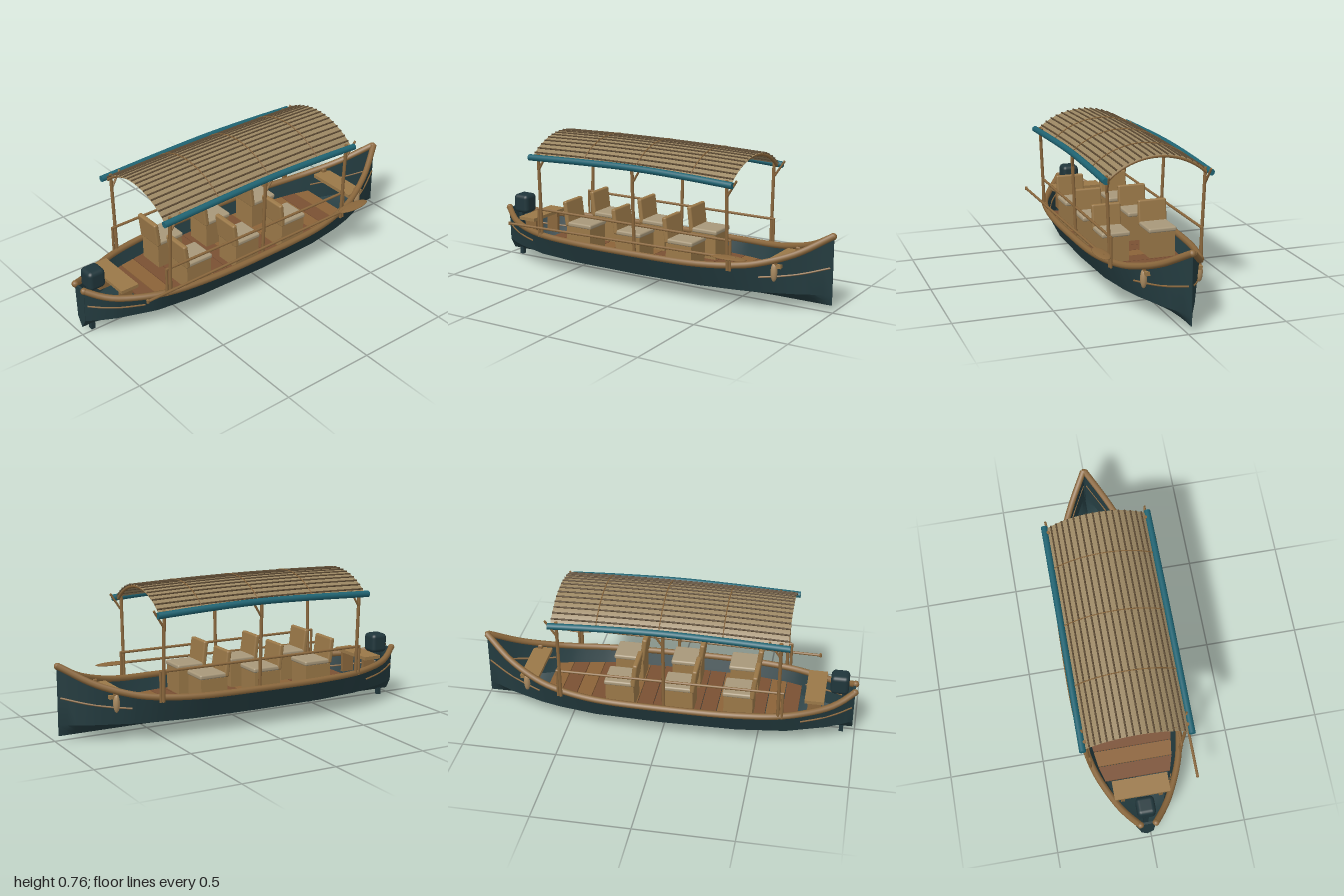
import * as THREE from 'three';
import { toCreasedNormals } from 'three/addons/utils/BufferGeometryUtils.js';
import { RoundedBoxGeometry } from 'three/addons/geometries/RoundedBoxGeometry.js';
import { ParametricGeometry } from 'three/addons/geometries/ParametricGeometry.js';

const mat = (color, side = THREE.FrontSide) => new THREE.MeshStandardMaterial({ color, side });
const M = {
  hull: mat(0x243c40, THREE.DoubleSide), wood: mat(0x8a673c), bench: mat(0x9a7848),
  floorA: mat(0x7a5033), floorB: mat(0x8b6238), pad: mat(0xa8987a), teal: mat(0x1f6473),
  thatch: mat(0x9a8662, THREE.DoubleSide), batten: mat(0x5c4a33), motor: mat(0x20363b), fender: mat(0xa98a60),
};
const V = (x, y, z) => new THREE.Vector3(x, y, z);

// Hull stations: x, half beam at the gunwale, sheer height
const STATIONS = [
  [-0.985, 0.04, 0.27], [-0.92, 0.09, 0.238], [-0.85, 0.135, 0.22], [-0.65, 0.222, 0.208], [-0.4, 0.262, 0.206],
  [0, 0.27, 0.207], [0.35, 0.255, 0.21], [0.55, 0.215, 0.222], [0.66, 0.18, 0.24], [0.83, 0.1, 0.295], [0.985, 0.003, 0.385],
];
function station(x) {
  let i = 0;
  while (i < STATIONS.length - 2 && x > STATIONS[i + 1][0]) i++;
  const a = STATIONS[i], b = STATIONS[i + 1], t = (x - a[0]) / (b[0] - a[0]);
  return { beam: a[1] + (b[1] - a[1]) * t, sheer: a[2] + (b[2] - a[2]) * t };
}
const CHINE = 0.085, KEEL = 0.03;
// Half width of the hull side at height y
function sideAt(x, y) {
  const { beam, sheer } = station(x);
  return beam * (0.81 + 0.19 * (y - CHINE) / (sheer - CHINE));
}

export function createModel() {
  const root = new THREE.Group();
  root.name = 'canopyBoat';
  const boat = new THREE.Group();
  boat.name = 'boat';
  boat.position.z = -0.02;
  root.add(boat);

  const add = (name, geo, material, x = 0, y = 0, z = 0, parent = boat) => {
    const m = new THREE.Mesh(geo, material);
    m.name = name;
    m.position.set(x, y, z);
    parent.add(m);
    return m;
  };
  const box = (name, w, h, d, material, x, y, z, parent) =>
    add(name, new THREE.BoxGeometry(w, h, d), material, x, y, z, parent);
  const rod = (name, a, b, r, material, sides = 8) => {
    const dir = b.clone().sub(a), mid = a.clone().add(b).multiplyScalar(0.5);
    const m = add(name, new THREE.CylinderGeometry(r, r, dir.length(), sides), material, mid.x, mid.y, mid.z);
    m.quaternion.setFromUnitVectors(V(0, 1, 0), dir.normalize());
    return m;
  };
  const tube = (name, pts, r, material, seg = 40, sides = 8) =>
    add(name, new THREE.TubeGeometry(new THREE.CatmullRomCurve3(pts), seg, r, sides), material);

  // Hull shell: hard chine, shallow V bottom
  const hullGeo = new ParametricGeometry((u, v, p) => {
    const f = u * (STATIONS.length - 1) / 1, i = Math.min(Math.floor(f), STATIONS.length - 2);
    const x = THREE.MathUtils.lerp(STATIONS[i][0], STATIONS[i + 1][0], f - i);
    const { sheer } = station(x), s = Math.abs(v * 2 - 1), side = v < 0.5 ? -1 : 1;
    if (s >= 0.5) {
      const y = CHINE + (sheer - CHINE) * (s - 0.5) * 2;
      p.set(x, y, side * sideAt(x, y));
    } else {
      p.set(x, KEEL + (CHINE - KEEL) * s * 2, side * sideAt(x, CHINE) * s * 2);
    }
  }, 40, 8);
  add('hull', toCreasedNormals(hullGeo, 0.45), M.hull);

  // Transom closing the stern
  const st = station(-0.985), cw = sideAt(-0.985, CHINE);
  const transom = new THREE.Shape([[-st.beam, st.sheer], [-cw, CHINE], [0, KEEL], [cw, CHINE], [st.beam, st.sheer]]
    .map(([a, b]) => new THREE.Vector2(a, b)));
  add('transom', new THREE.ExtrudeGeometry(transom, { depth: 0.012, bevelEnabled: false }), M.hull, -0.987, 0, 0)
    .rotation.y = Math.PI / 2;

  // Gunwales, rubbing strips, rails, poles and braces on both sides
  for (const s of [-1, 1]) {
    tube('gunwale', STATIONS.map(([x, b, y]) => V(x, y + 0.002, s * b)), 0.017, M.wood, 60);
    add('gunwaleEnd', new THREE.SphereGeometry(0.018, 10, 8), M.wood, -0.985, 0.272, s * 0.04);
    const strip = (xs, ys) => tube('rubbingStrip', xs.map((x, i) => V(x, ys[i], s * (sideAt(x, ys[i]) + 0.001))), 0.005, M.wood, 16, 6);
    strip([0.66, 0.76, 0.86, 0.975], [0.168, 0.178, 0.195, 0.225]);
    strip([-0.975, -0.9, -0.82, -0.72], [0.178, 0.165, 0.155, 0.147]);

    rod('handRail', V(-0.635, 0.355, s * 0.238), V(0.545, 0.355, s * 0.238), 0.007, M.wood);
    for (const x of [-0.63, 0.54]) rod('railPost', V(x, 0.2, s * 0.238), V(x, 0.358, s * 0.238), 0.007, M.wood);
    for (const x of [-0.61, -0.02, 0.525]) {
      rod('canopyPole', V(x, 0.2, s * 0.238), V(x, 0.66, s * 0.256), 0.009, M.wood);
      rod('poleBrace', V(x, 0.575, s * 0.254), V(x + 0.058, 0.665, s * 0.262), 0.006, M.wood);
    }
    // Rolled side curtain
    const roll = tube('rolledCurtain', [V(-0.655, 0.642, 0), V(-0.3, 0.655, 0), V(0, 0.661, 0), V(0.3, 0.654, 0), V(0.565, 0.642, 0)],
      0.017, M.teal, 24, 10);
    roll.position.z = s * 0.272;
    for (const x of [-0.655, 0.565]) {
      const cap = add('curtainEnd', new THREE.CylinderGeometry(0.017, 0.017, 0.003, 10), M.teal, x, 0.642, s * 0.272);
      cap.rotation.z = Math.PI / 2;
    }
    // Fender hanging from the bow
    const fz = sideAt(0.735, 0.2) + 0.008;
    add('fender', new THREE.SphereGeometry(0.017, 12, 10), M.fender, 0.735, 0.2, s * fz).scale.set(1, 2.9, 1);
    add('fenderKnot', new RoundedBoxGeometry(0.028, 0.026, 0.026, 2, 0.007), M.wood, 0.735, 0.249, s * (fz - 0.006));
  }
  rod('stem', V(0.983, 0.032, 0), V(0.983, 0.385, 0), 0.004, M.hull);
  add('stemCap', new THREE.SphereGeometry(0.018, 10, 8), M.wood, 0.981, 0.384, 0);

  // Arched canopy: point on the roof for x and t in -1..1
  const roof = (x, t, lift = 0) => {
    const a = t * 0.76;
    const camber = 0.01 * (1 - (x / 0.6) ** 2);
    return V(x, 0.642 + camber + (0.372 + lift) * Math.cos(a) - 0.372 * Math.cos(0.76), (0.38 + lift) * Math.sin(a));
  };
  const X0 = -0.645, X1 = 0.555;
  add('canopySkin', new ParametricGeometry((u, v, p) => p.copy(roof(X0 + (X1 - X0) * u, v * 2 - 1)), 12, 32), M.thatch);
  const along = [0, 0.25, 0.5, 0.75, 1].map(k => X0 + (X1 - X0) * k);
  const across = Array.from({ length: 13 }, (_, i) => i / 6 - 1);
  for (let i = 0; i <= 17; i++)
    tube('canopyBatten', along.map(x => roof(x, i / 8.5 - 1, 0.002)), 0.0045, M.batten, 12, 6);
  for (const x of [-0.625, -0.32, -0.01, 0.27, 0.54])
    tube('canopyRib', across.map(t => roof(x, t, -0.008)), 0.008, M.wood, 32);
  for (const x of [-0.32, 0, 0.32])
    tube('canopyLashing', across.map(t => roof(x, t, 0.005)), 0.003, M.wood, 32, 5);

  // Floor planks trimmed to the hull sides
  const FLOOR = 0.14;
  for (let i = 0; i < 16; i++) {
    const a = -0.7 + i * 0.084, b = a + 0.08;
    const wa = sideAt(a, FLOOR - 0.012) - 0.004, wb = sideAt(b, FLOOR - 0.012) - 0.004;
    const plank = new THREE.Shape([[a, -wa], [b, -wb], [b, wb], [a, wa]].map(([x, z]) => new THREE.Vector2(x, z)));
    add('floorPlank', new THREE.ExtrudeGeometry(plank, { depth: 0.012, bevelEnabled: false }),
      i % 3 === 1 || i === 15 ? M.floorB : M.floorA, 0, FLOOR, 0).rotation.x = Math.PI / 2;
  }

  // End benches
  box('sternBench', 0.1, 0.018, 0.29, M.bench, -0.785, 0.254, 0);
  for (const s of [-1, 1]) box('benchLeg', 0.07, 0.12, 0.02, M.wood, -0.785, 0.19, s * 0.1);
  box('bowBench', 0.1, 0.02, 0.29, M.bench, 0.72, 0.232, 0);

  // Three rows of paired seats facing the bow
  for (const x of [-0.4, -0.09, 0.22]) for (const s of [-1, 1]) {
    const seat = new THREE.Group();
    seat.name = 'seat';
    seat.position.set(x, 0, s * 0.126);
    boat.add(seat);
    box('seatBase', 0.15, 0.135, 0.14, M.bench, 0, FLOOR + 0.065, 0, seat);
    add('seatCushion', new RoundedBoxGeometry(0.16, 0.025, 0.152, 2, 0.009), M.pad, 0.002, 0.285, 0, seat);
    add('seatBack', new RoundedBoxGeometry(0.026, 0.135, 0.155, 2, 0.009), M.bench, -0.077, 0.34, 0, seat).rotation.z = 0.12;
  }

  // Outboard motor
  add('motorCowl', new RoundedBoxGeometry(0.095, 0.105, 0.095, 3, 0.022), M.motor, -0.905, 0.302, 0);
  box('motorLeg', 0.022, 0.26, 0.025, M.motor, -0.93, 0.13, 0);

  // Paddle lying along the left side
  const PZ = 0.295;
  rod('paddleShaft', V(-0.785, 0.265, PZ), V(0.6, 0.287, PZ), 0.007, M.wood);
  rod('paddleGrip', V(-0.783, 0.257, PZ), V(-0.783, 0.274, PZ), 0.008, M.wood);
  add('paddleBlade', new THREE.SphereGeometry(1, 20, 10), M.wood, 0.56, 0.286, PZ).scale.set(0.1, 0.007, 0.036);

  return root;
}
